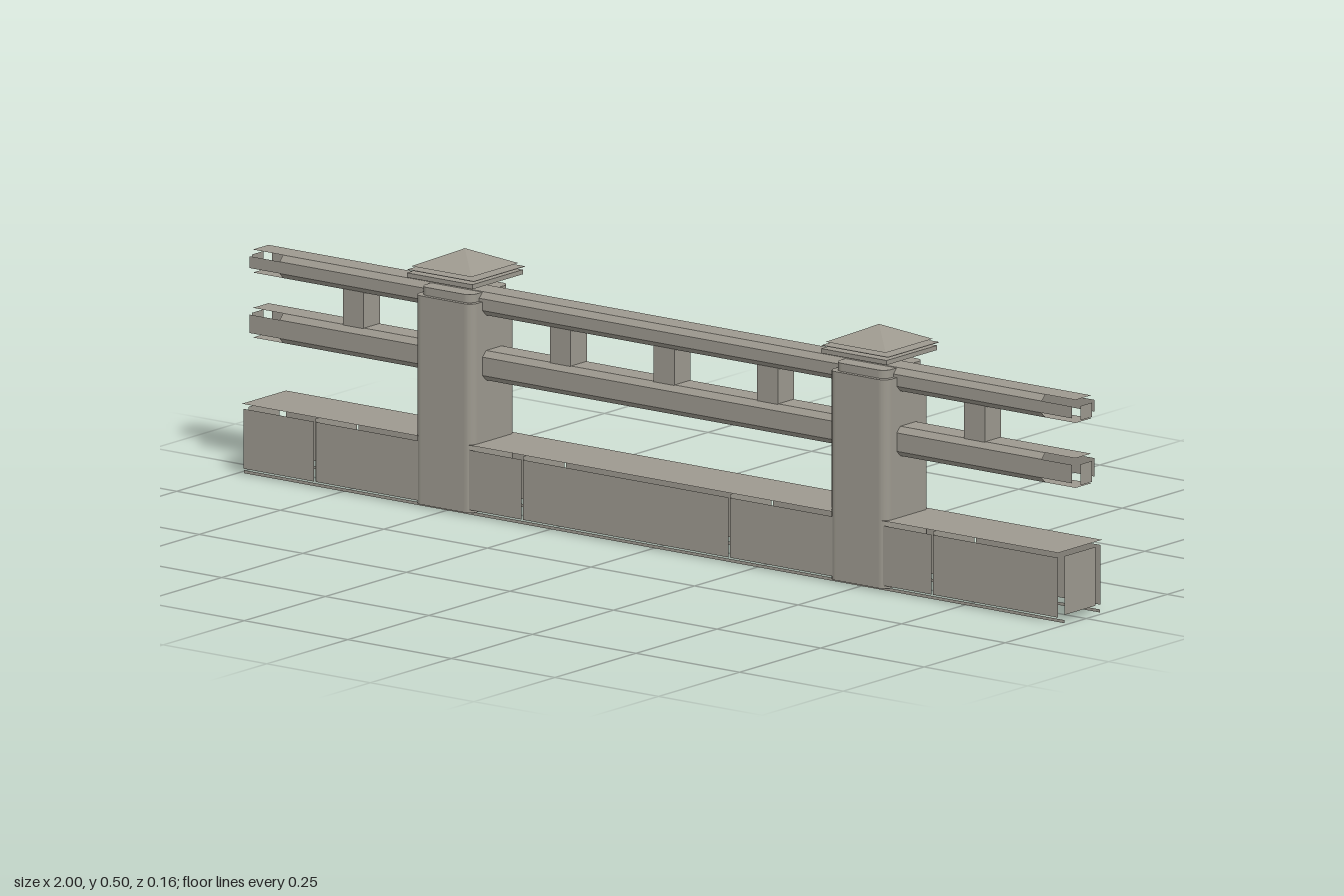
import * as THREE from 'three';

const stone = new THREE.MeshStandardMaterial({ color: 0x9d998f, side: THREE.DoubleSide });
stone.name = 'warm grey stone';

function add(parent, name, geometry, x = 0, y = 0, z = 0) {
  const mesh = new THREE.Mesh(geometry, stone);
  mesh.name = name;
  mesh.position.set(x, y, z);
  parent.add(mesh);
  return mesh;
}

// flat sheet spanning x0..x1 between two (y, z) points of a cross-section
function strip(parent, name, x0, x1, [ya, za], [yb, zb]) {
  const g = new THREE.BufferGeometry();
  g.setAttribute('position', new THREE.Float32BufferAttribute(
    [x0, ya, za, x1, ya, za, x1, yb, zb, x0, yb, zb], 3));
  g.setIndex([0, 1, 2, 0, 2, 3]);
  g.computeVertexNormals();
  return add(parent, name, g);
}

// upright sheet facing along x
function crossPanel(parent, name, x, y0, y1, halfDepth) {
  const m = add(parent, name, new THREE.PlaneGeometry(2 * halfDepth, y1 - y0), x, (y0 + y1) / 2, 0);
  m.rotation.y = Math.PI / 2;
}

// hollow plinth of blocks: walls, floating top sheet, seams, open underside
function makeBase() {
  const g = new THREE.Group();
  g.name = 'base';
  const L = 0.985;
  const seams = [-0.81, -0.31, 0.19, 0.68];
  const ends = [-L, ...seams, L];
  for (const s of [1, -1]) {
    for (let i = 0; i < ends.length - 1; i++) {
      strip(g, 'wallBlock', ends[i] + 0.002, ends[i + 1] - 0.002, [0.013, s * 0.066], [0.13, s * 0.066]);
    }
    strip(g, 'footStrip', -0.99, 0.99, [0.001, s * 0.055], [0.007, s * 0.055]);
    crossPanel(g, 'endPanel', s * L, 0.015, 0.13, 0.048);
  }
  strip(g, 'topSheet', -L, L, [0.14, 0.068], [0.14, -0.068]);
  for (const x of seams) crossPanel(g, 'blockPartition', x, 0.013, 0.136, 0.064);
  return g;
}

// rail with an eight-sided section; corner bevels stop short of the ends
function makeRail(name, y0, y1) {
  const g = new THREE.Group();
  g.name = name;
  const d = 0.035, c = 0.011;
  const section = [
    [y0 + c, d], [y1 - c, d], [y1, d - c], [y1, c - d],
    [y1 - c, -d], [y0 + c, -d], [y0, c - d], [y0, d - c],
  ];
  section.forEach((p, i) => {
    const bevel = i % 2 === 1;
    const end = bevel ? 0.92 : 0.993;
    strip(g, bevel ? 'railBevel' : 'railFace', -end, end, p, section[(i + 1) % 8]);
  });
  for (const s of [1, -1]) crossPanel(g, 'railEnd', s, y0 + 0.005, y1 - 0.012, 0.018);
  return g;
}

// rectangle with rounded corners
function roundedRect(hw, hd, r) {
  const s = new THREE.Shape();
  s.absarc(hw - r, hd - r, r, 0, Math.PI / 2);
  s.absarc(r - hw, hd - r, r, Math.PI / 2, Math.PI);
  s.absarc(r - hw, r - hd, r, Math.PI, Math.PI * 1.5);
  s.absarc(hw - r, r - hd, r, Math.PI * 1.5, Math.PI * 2);
  s.closePath();
  return s;
}

function makePost(x) {
  const g = new THREE.Group();
  g.name = 'post';
  g.position.x = x;
  // shaft with softened vertical corners
  const column = (name, hw, hd, y0, y1) => {
    const geo = new THREE.ExtrudeGeometry(roundedRect(hw, hd, 0.018),
      { depth: y1 - y0, bevelEnabled: false, curveSegments: 5 });
    geo.rotateX(-Math.PI / 2);
    add(g, name, geo, 0, y0, 0);
  };
  column('shaft', 0.07, 0.0685, 0.007, 0.415);
  column('shaftTop', 0.062, 0.06, 0.415, 0.431);
  // cap: slab, thin cover and low pyramid, each lifted off the last
  add(g, 'capSlab', new THREE.BoxGeometry(0.158, 0.009, 0.156), 0, 0.4535, 0);
  add(g, 'capCover', new THREE.BoxGeometry(0.16, 0.001, 0.158), 0, 0.4635, -0.004);
  const pyramid = new THREE.ConeGeometry(0.0725 * Math.SQRT2, 0.032, 4, 1, true).toNonIndexed();
  pyramid.rotateY(Math.PI / 4);
  pyramid.computeVertexNormals();
  add(g, 'capPyramid', pyramid, 0, 0.487, 0);
  return g;
}

export function createModel() {
  const model = new THREE.Group();
  model.name = 'stoneFence';
  model.add(makeBase());
  model.add(makeRail('upperRail', 0.387, 0.432));
  model.add(makeRail('lowerRail', 0.26, 0.318));
  for (const x of [-0.5, 0.5]) model.add(makePost(x));
  // short blocks between the rails
  for (const x of [-0.75, -0.25, 0, 0.25, 0.75]) {
    add(model, 'baluster', new THREE.BoxGeometry(0.05, 0.08, 0.05), x, 0.353, 0);
  }
  return model;
}
